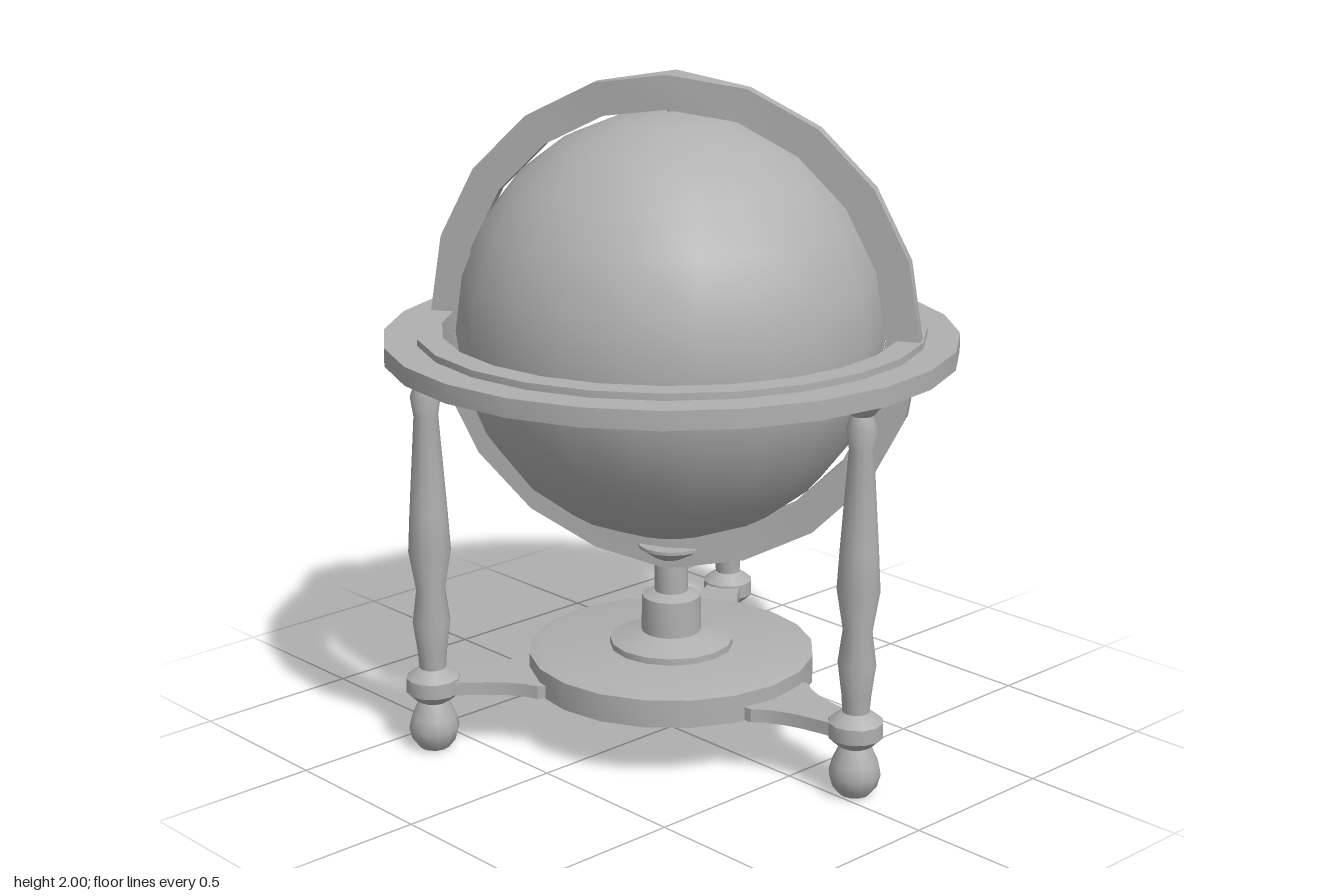
import * as THREE from 'three';
import { toCreasedNormals } from 'three/addons/utils/BufferGeometryUtils.js';

export function createModel() {
  const model = new THREE.Group();
  model.name = 'globeOnStand';
  const grey = new THREE.MeshStandardMaterial({ color: 0xb0b0b0 });
  grey.name = 'plainGrey';

  function add(name, geometry, crease = 0.6) {
    const mesh = new THREE.Mesh(crease ? toCreasedNormals(geometry, crease) : geometry, grey);
    mesh.name = name;
    model.add(mesh);
    return mesh;
  }
  const turned = (profile, sides) =>
    new THREE.LatheGeometry(profile.map(([r, y]) => new THREE.Vector2(r, y)), sides);

  const centreY = 1.265;

  // Globe with its axis pin
  add('globe', new THREE.SphereGeometry(0.627, 20, 12), 0).position.y = centreY;
  add('axisPin', new THREE.CylinderGeometry(0.012, 0.012, 1.3, 8)).position.y = centreY;

  // Upright meridian ring, thickened where it holds the poles
  const meridian = turned(
    [[0.637, -0.022], [0.736, -0.022], [0.736, 0.022], [0.637, 0.022], [0.637, -0.022]], 20);
  meridian.rotateX(Math.PI / 2);
  const p = meridian.attributes.position;
  for (let i = 0; i < p.count; i++) {
    if (Math.abs(p.getX(i)) < 0.01) p.setZ(i, Math.sign(p.getZ(i)) * 0.053);
  }
  meridian.rotateY(0.545);
  add('meridianRing', meridian, 0.5).position.y = centreY;

  // Flat horizon ring with a raised inner step above and below
  add('horizonRing', turned([
    [0.67, 1.17], [0.745, 1.17], [0.745, 1.19], [0.84, 1.19], [0.84, 1.245],
    [0.745, 1.245], [0.745, 1.265], [0.67, 1.265], [0.67, 1.17],
  ], 24), 0.5);

  // Round base
  add('baseDisc', turned([
    [0, 0.178], [0.43, 0.178], [0.43, 0.262], [0.4, 0.27], [0, 0.275],
  ], 20), 0.5);

  // Central pedestal with cup
  add('pedestal', turned([
    [0, 0.26], [0.185, 0.27], [0.185, 0.292], [0.09, 0.32], [0.088, 0.43],
    [0.05, 0.445], [0.05, 0.53], [0.035, 0.54], [0.1, 0.585], [0.1, 0.595], [0, 0.595],
  ], 16), 0.7);

  // Three turned legs and the arms joining them to the base
  const legProfile = [
    [0, 0], [0.045, 0.003], [0.066, 0.03], [0.076, 0.065], [0.068, 0.1], [0.045, 0.15],
    [0.06, 0.16], [0.08, 0.18], [0.08, 0.225], [0.055, 0.245], [0.04, 0.255],
    [0.043, 0.3], [0.056, 0.4], [0.043, 0.5], [0.063, 0.62], [0.056, 0.74],
    [0.036, 1.03], [0.045, 1.09], [0.032, 1.13], [0.07, 1.175], [0, 1.175],
  ];
  for (const [x, z] of [[0.71, -0.05], [-0.38, 0.615], [-0.38, -0.615]]) {
    add('leg', turned(legProfile, 12), 0.75).position.set(x, 0, z);

    const reach = Math.hypot(x, z);
    const shape = new THREE.Shape();
    shape.moveTo(0.3, -0.13);
    shape.lineTo(0.43, -0.13);
    shape.quadraticCurveTo(0.5, -0.06, reach, -0.05);
    shape.lineTo(reach, 0.05);
    shape.quadraticCurveTo(0.5, 0.06, 0.43, 0.13);
    shape.lineTo(0.3, 0.13);
    shape.closePath();
    const arm = new THREE.ExtrudeGeometry(shape, { depth: 0.04, bevelEnabled: false, curveSegments: 5 });
    arm.rotateX(-Math.PI / 2);
    arm.rotateY(Math.atan2(-z, x));
    add('arm', arm, 0.5).position.y = 0.179;
  }
  return model;
}
